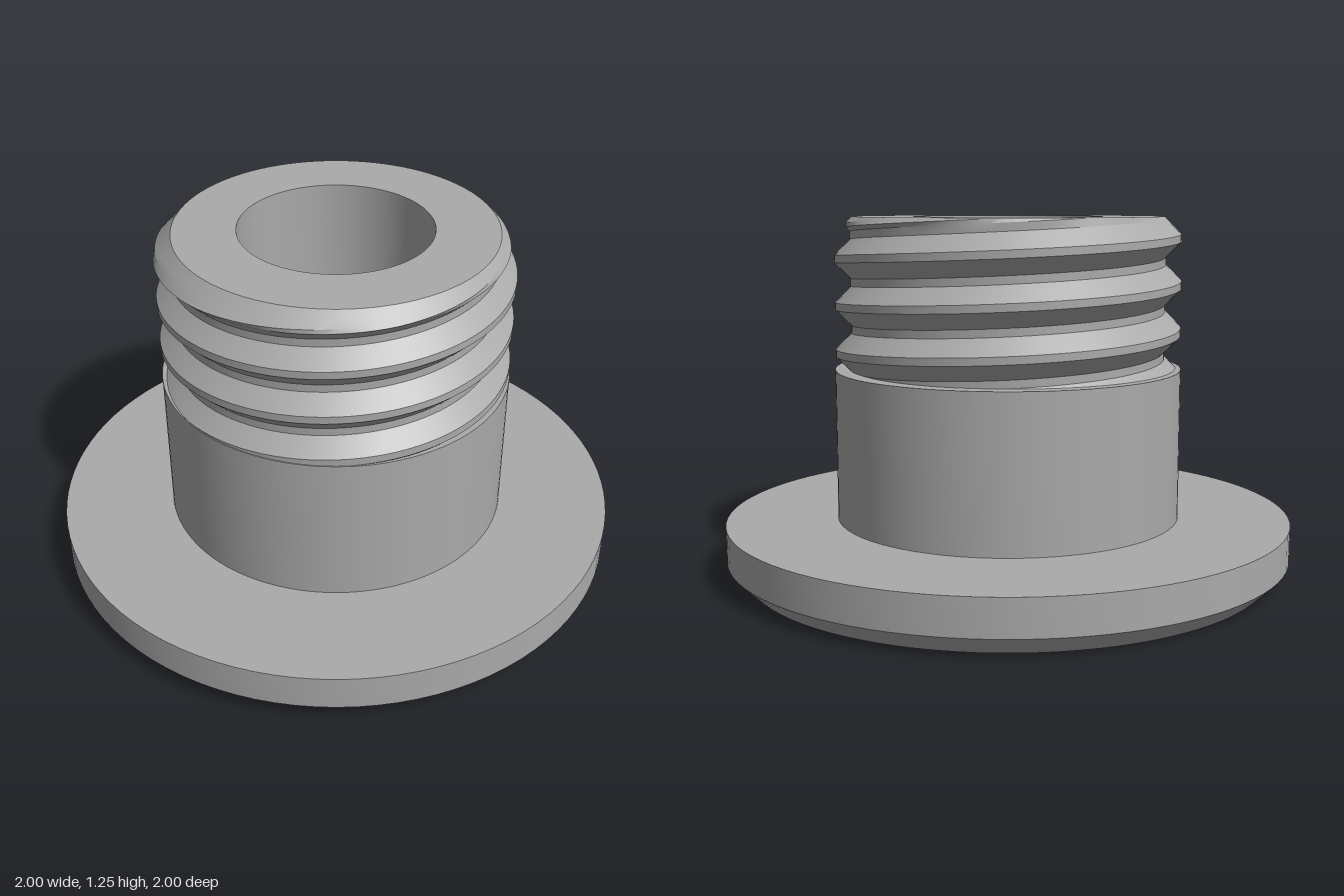
import * as THREE from 'three';
import { toCreasedNormals } from 'three/addons/utils/BufferGeometryUtils.js';

const SEGMENTS = 96;
const THREAD_BOTTOM = 0.72, TOP = 1.25;
const PITCH = 0.163, ROOT = 0.552, CREST = 0.607, TOP_RADIUS = 0.545;
const CREST_Y = 1.1; // height of one crest at +x
const FLAT = 0.013, FLANK = 0.055; // half crest width, flank height

// Thread radius at a distance d from the middle of a crest, trimmed by the top chamfer
function threadRadius(d, y) {
  d = Math.abs(d - PITCH * Math.round(d / PITCH));
  const t = THREE.MathUtils.clamp((d - FLAT) / FLANK, 0, 1);
  return Math.min(CREST + (ROOT - CREST) * t, TOP_RADIUS + TOP - y);
}

// Right-handed helical surface, cut level at both ends
function threadGeometry() {
  const offsets = [];
  for (let i = 0; i <= 4; i++) offsets.push(-FLAT - FLANK + FLANK * i / 4);
  for (let i = 0; i <= 4; i++) offsets.push(FLAT + FLANK * i / 4);
  const rows = [];
  for (let k = -4; k <= 2; k++) for (const o of offsets) rows.push(k * PITCH + o);

  const positions = [], indices = [];
  rows.forEach((row, j) => {
    for (let i = 0; i <= SEGMENTS; i++) {
      const a = i / SEGMENTS * Math.PI * 2;
      const centre = CREST_Y + PITCH * i / SEGMENTS;
      const y = THREE.MathUtils.clamp(centre + row, THREAD_BOTTOM, TOP);
      const r = threadRadius(y - centre, y);
      positions.push(r * Math.cos(a), y, -r * Math.sin(a));
      if (j < rows.length - 1 && i < SEGMENTS) {
        const p = j * (SEGMENTS + 1) + i, q = p + SEGMENTS + 1;
        indices.push(p, p + 1, q + 1, p, q + 1, q);
      }
    }
  });
  const geometry = new THREE.BufferGeometry();
  geometry.setAttribute('position', new THREE.Float32BufferAttribute(positions, 3));
  geometry.setIndex(indices);
  return toCreasedNormals(geometry, 0.4);
}

function turned(profile) {
  const points = profile.map(([r, y]) => new THREE.Vector2(r, y));
  return toCreasedNormals(new THREE.LatheGeometry(points, SEGMENTS), 0.4);
}

export function createModel() {
  const group = new THREE.Group();
  const metal = new THREE.MeshStandardMaterial({ color: 0xaaaaaa });
  metal.name = 'grey metal';
  const add = (name, geometry) => {
    const mesh = new THREE.Mesh(geometry, metal);
    mesh.name = name;
    group.add(mesh);
  };

  // Wide foot with a chamfered lower edge
  add('flange', turned([[0.42, 0], [0.935, 0], [1, 0.065], [1, 0.19], [0.61, 0.19]]));
  // Plain shank and the ledge under the thread
  add('shank', turned([[0.61, 0.19], [0.61, THREAD_BOTTOM], [0.54, THREAD_BOTTOM]]));
  add('thread', threadGeometry());
  // Flat end face and stepped through hole
  add('endFace', turned([[TOP_RADIUS, TOP], [0.33, TOP]]));
  add('bore', turned([[0.33, TOP], [0.33, 0.72], [0.39, 0.72], [0.39, 0.38], [0.42, 0.38], [0.42, 0]]));
  return group;
}
